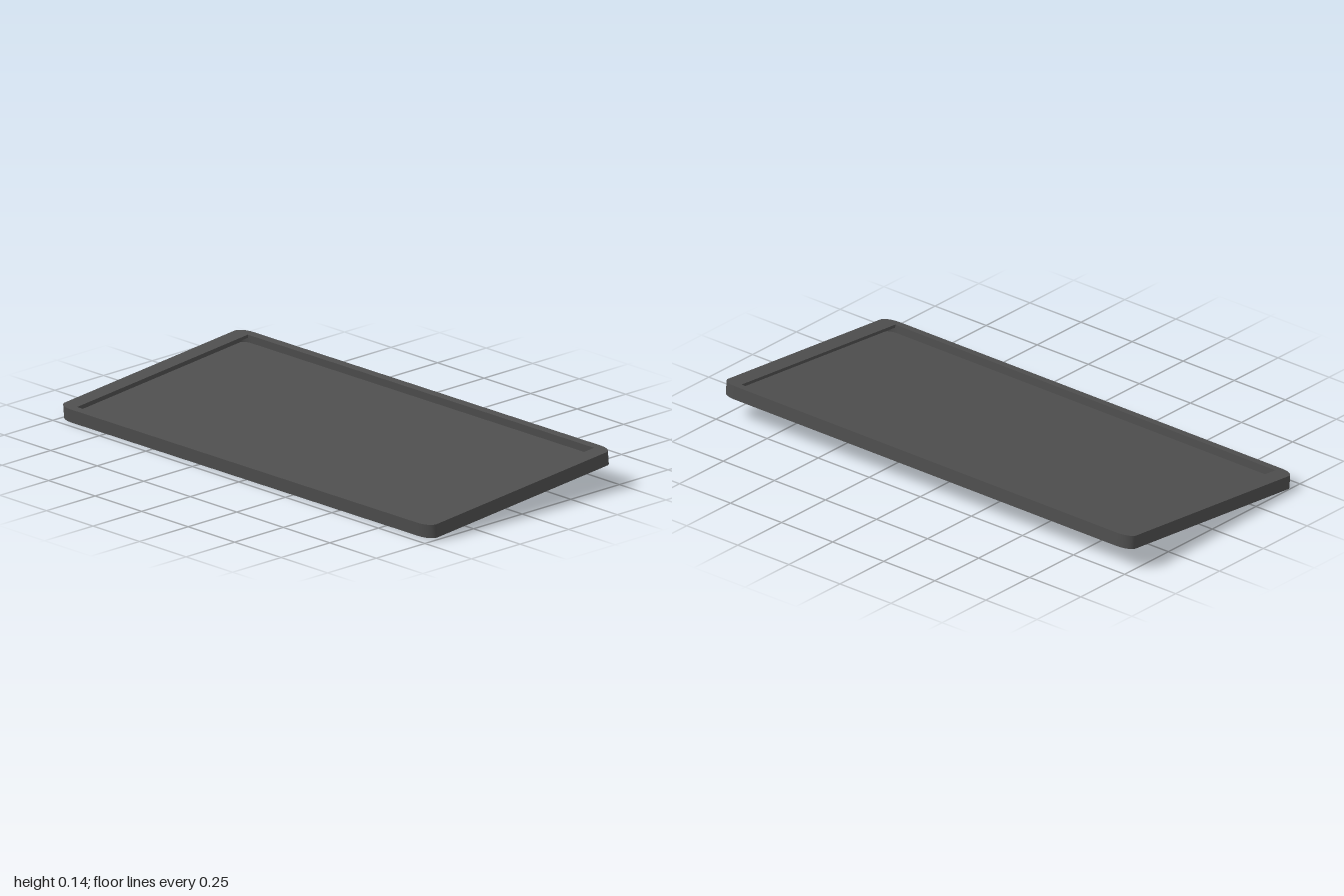
import * as THREE from 'three';

// Rectangle with elliptical corners, traced counter-clockwise
function roundedRect(Type, w, h, rx, ry) {
  const s = new Type();
  const x = w / 2 - rx, y = h / 2 - ry;
  const corners = [[x, -y], [x, y], [-x, y], [-x, -y]];
  s.moveTo(-x, -h / 2);
  corners.forEach(([cx, cy], i) => {
    const a = (i - 1) * Math.PI / 2;
    s.lineTo(cx + rx * Math.cos(a), cy + ry * Math.sin(a));
    s.absellipse(cx, cy, rx, ry, a, a + Math.PI / 2);
  });
  s.closePath();
  return s;
}

// Upright slab from y0 to y1, laid flat along x and z
function slab(shape, y0, y1) {
  const g = new THREE.ExtrudeGeometry(shape, { depth: y1 - y0, bevelEnabled: false, curveSegments: 10 });
  g.rotateX(-Math.PI / 2);
  g.translate(0, y0, 0);
  return g;
}

export function createModel() {
  const charcoal = new THREE.MeshStandardMaterial({ color: 0x4e4e4e });
  charcoal.name = 'charcoal';

  const model = new THREE.Group();
  model.name = 'tray';
  const body = new THREE.Group();
  body.name = 'tiltedBody';
  model.add(body);

  const add = (name, geometry) => {
    const m = new THREE.Mesh(geometry, charcoal);
    m.name = name;
    body.add(m);
    return m;
  };

  const W = 0.944, L = 2, H = 0.053, RX = 0.035, RZ = 0.068;
  const FLOOR = 0.012, LIP = 0.041;
  const outline = () => roundedRect(THREE.Shape, W, L, RX, RZ);

  // Floor
  add('floor', slab(outline(), 0, FLOOR));

  // Side wall around the rounded cavity
  const wall = outline();
  wall.holes.push(roundedRect(THREE.Path, W - 0.026, L - 0.05, RX - 0.013, RZ - 0.025));
  add('sideWall', slab(wall, FLOOR, LIP));

  // Lip overhanging the cavity, with a square-cornered opening
  const lip = outline();
  const hx = 0.441, hz = 0.93;
  lip.holes.push(new THREE.Path([
    new THREE.Vector2(-hx, -hz), new THREE.Vector2(-hx, hz),
    new THREE.Vector2(hx, hz), new THREE.Vector2(hx, -hz),
  ]));
  add('lip', slab(lip, LIP, H));

  // Small stud under the floor
  const stud = add('stud', new THREE.CylinderGeometry(0.012, 0.012, 0.006, 16));
  stud.position.set(0.19, -0.001, -0.78);

  // Left side raised strongly, front raised slightly, resting on the back right corner
  const roll = THREE.MathUtils.degToRad(5.25), pitch = 0.003;
  body.rotation.set(-pitch, 0, roll);
  body.position.set(0.002, W / 2 * Math.sin(roll) + L / 2 * pitch, 0);
  return model;
}
